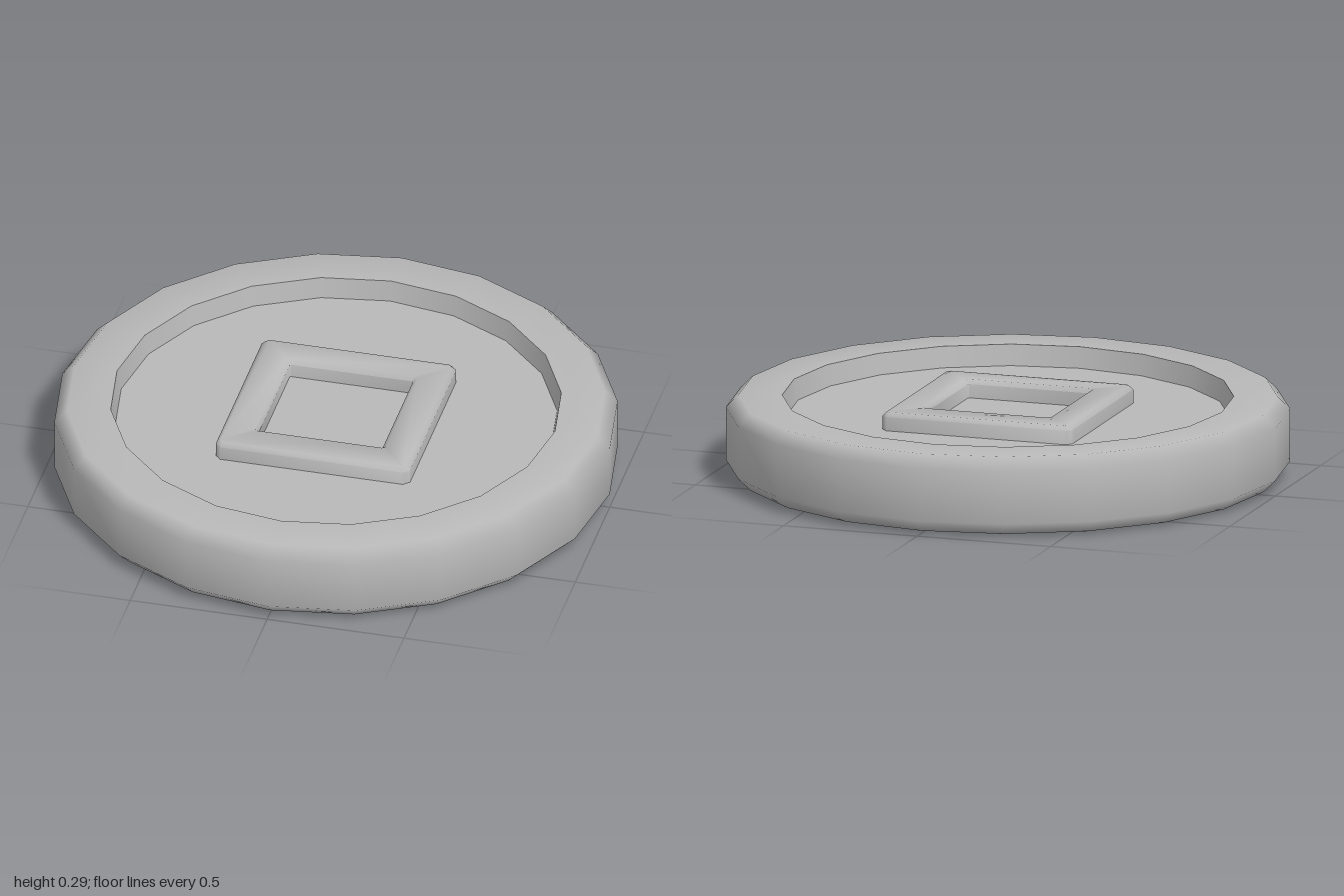
import * as THREE from 'three';
import { mergeVertices, toCreasedNormals } from 'three/addons/utils/BufferGeometryUtils.js';

const SIDES = 20;
const grey = new THREE.MeshStandardMaterial({ color: 0xb8b8b8 });
grey.name = 'grey';

// Revolved part; the profile runs counter-clockwise (bottom, outside, top)
function revolve(name, profile) {
  const points = profile.map(([r, y]) => new THREE.Vector2(r, y));
  const mesh = new THREE.Mesh(new THREE.LatheGeometry(points, SIDES), grey);
  mesh.name = name;
  return mesh;
}

// Square outline with small cut corners
function cutSquare(path, half, cut) {
  const a = half, b = half - cut;
  const corners = [[a, -b], [a, b], [b, a], [-b, a], [-a, b], [-a, -b], [-b, -a], [b, -a]];
  path.setFromPoints(corners.map(([x, y]) => new THREE.Vector2(x, y)));
  return path;
}

// Raised square ring that passes through the whole disc
function squareFrame() {
  const height = 0.28, bevel = 0.015;
  const shape = cutSquare(new THREE.Shape(), 0.34, 0.012);
  shape.holes.push(cutSquare(new THREE.Path(), 0.24, 0.012));
  let geometry = new THREE.ExtrudeGeometry(shape, {
    depth: height - 2 * bevel, bevelEnabled: true,
    bevelThickness: bevel, bevelSize: bevel, bevelSegments: 1,
  });
  geometry.translate(0, 0, bevel);
  geometry.rotateX(-Math.PI / 2);
  geometry.deleteAttribute('uv');
  geometry.deleteAttribute('normal');
  geometry = toCreasedNormals(mergeVertices(geometry, 1e-4), 1.0);
  const mesh = new THREE.Mesh(geometry, grey);
  mesh.name = 'squareFrame';
  return mesh;
}

export function createModel() {
  const group = new THREE.Group();
  group.name = 'coin';
  const bottom = 0.01, top = 0.29, bevel = 0.045;
  const floorLow = 0.073, floorHigh = 0.215, rimInner = 0.8, floorRadius = 0.785;

  group.add(
    // Bevelled outer rim
    revolve('rim', [
      [rimInner, bottom], [1 - bevel, bottom], [1, bottom + bevel],
      [1, top - bevel], [1 - bevel, top], [rimInner, top],
    ]),
    // Recess walls and floors on both faces
    revolve('upperWall', [[rimInner, top], [floorRadius, floorHigh]]),
    revolve('upperFloor', [[floorRadius, floorHigh], [0, floorHigh]]),
    revolve('lowerWall', [[floorRadius, floorLow], [rimInner, bottom]]),
    revolve('lowerFloor', [[0, floorLow], [floorRadius, floorLow]]),
    squareFrame(),
  );
  return group;
}
